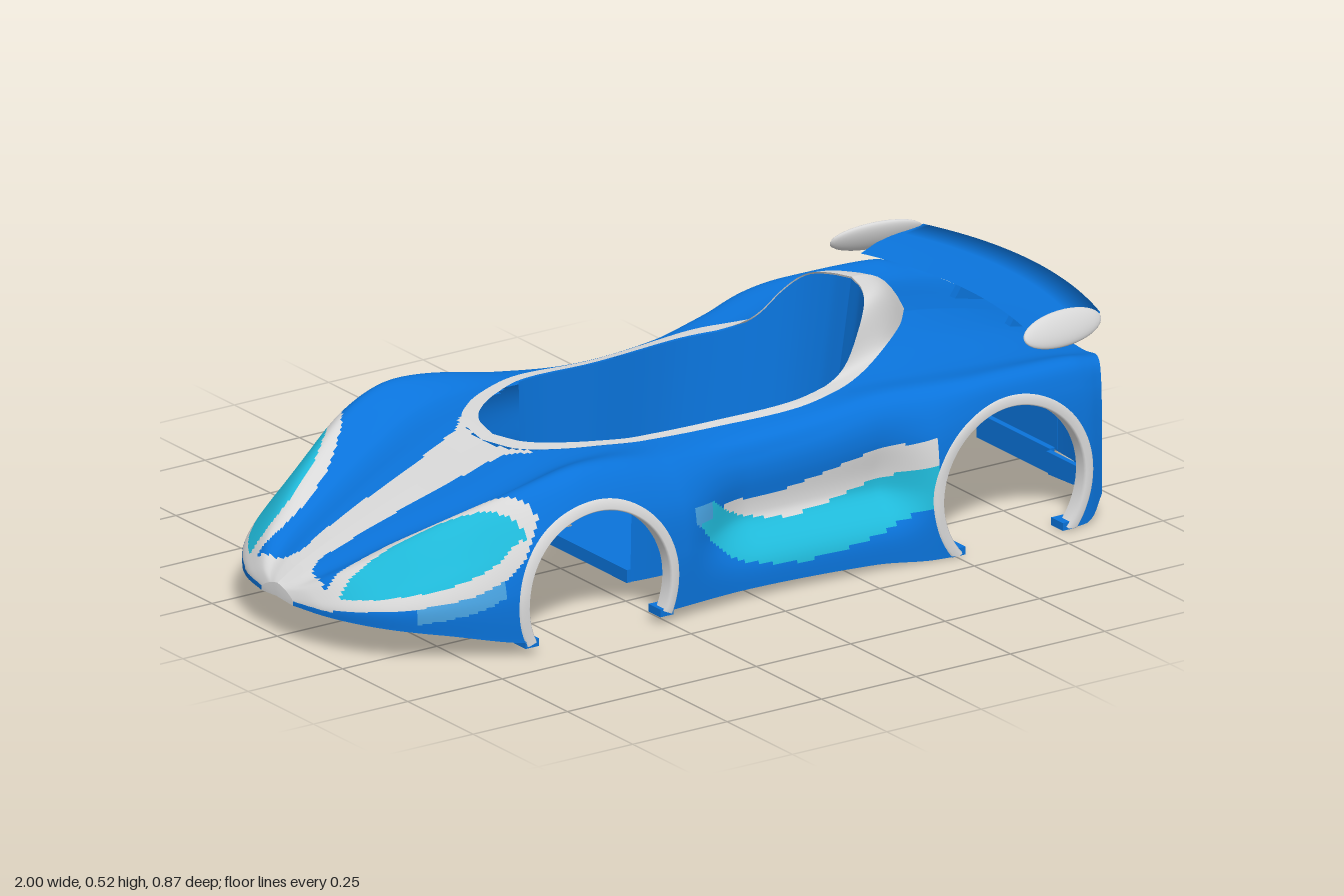
import * as THREE from 'three';

const mat = (name, color) => Object.assign(new THREE.MeshStandardMaterial({ color, side: THREE.DoubleSide }), { name });
const blue = mat('bodyBlue', 0x0a73da), grey = mat('trimGrey', 0xd8d8d8), cyan = mat('accentCyan', 0x20bbdb);
const pale = mat('paleBlue', 0x48a2e0), dark = mat('recessBlue', 0x0b3f80);

// Smooth interpolation through [x, value] pairs
function keys(list) {
  const n = list.length - 1;
  const slope = i => {
    const a = list[Math.max(i - 1, 0)], b = list[Math.min(i + 1, n)];
    return (b[1] - a[1]) / (b[0] - a[0]);
  };
  return x => {
    if (x <= list[0][0]) return list[0][1];
    if (x >= list[n][0]) return list[n][1];
    let i = 0;
    while (x > list[i + 1][0]) i++;
    const [x0, y0] = list[i], [x1, y1] = list[i + 1], h = x1 - x0, t = (x - x0) / h, t2 = t * t, t3 = t2 * t;
    return y0 * (2 * t3 - 3 * t2 + 1) + y1 * (3 * t2 - 2 * t3) + h * (slope(i) * (t3 - 2 * t2 + t) + slope(i + 1) * (t3 - t2));
  };
}
const smooth = THREE.MathUtils.smoothstep, lerp = THREE.MathUtils.lerp;

// Body: half width, then centre, trough, fender and bottom heights along x
const width = keys([[-1, .06], [-.98, .14], [-.94, .22], [-.88, .29], [-.8, .345], [-.7, .39], [-.6, .42], [-.45, .43], [-.25, .42],
  [-.05, .4], [.15, .4], [.35, .412], [.5, .43], [.7, .432], [.85, .428], [.92, .424], [.955, .414]]);
const centre = keys([[-1, .125], [-.94, .16], [-.8, .22], [-.6, .29], [-.43, .345], [-.2, .355], [0, .358], [.3, .375], [.5, .405], [.65, .408], [.8, .385], [.955, .345]]);
const trough = keys([[-1, .12], [-.94, .155], [-.8, .218], [-.6, .29], [-.43, .347], [-.2, .357], [0, .355], [.3, .365], [.5, .378], [.65, .372], [.8, .36], [.955, .342]]);
const fender = keys([[-1, .115], [-.94, .165], [-.88, .2], [-.8, .247], [-.7, .297], [-.6, .342], [-.5, .373], [-.43, .38], [-.33, .37], [-.2, .345],
  [0, .325], [.2, .335], [.35, .363], [.5, .378], [.65, .381], [.85, .375], [.955, .358]]);
const bottom = keys([[-1, .09], [-.8, .065], [-.6, .03], [-.2, .03], [.3, .017], [.45, .003], [.88, .005], [.93, .02], [.955, .06]]);

// Cockpit rim: outer and inner half widths, and the fairing height
const rimOuter = keys([[-.46, 0], [-.44, .1], [-.38, .17], [-.3, .215], [-.2, .248], [0, .25], [.2, .263], [.3, .25], [.4, .21], [.5, .15], [.6, .07], [.66, 0]]);
const rimInner = keys([[-.43, 0], [-.41, .08], [-.36, .14], [-.28, .19], [-.2, .22], [0, .225], [.2, .233], [.3, .213], [.4, .17], [.47, .12], [.51, .05], [.52, 0]]);
const fairing = keys([[.34, 0], [.37, .005], [.4, .022], [.44, .065], [.48, .1], [.52, .104]]);

// Cross-section from the centre line over the fender to the sill
const HALF = 100;
function section(x) {
  const w = width(x), c = centre(x), t = trough(x), f = fender(x), b = bottom(x);
  const front = 1 - smooth(x, -.95, -.45), rear = smooth(x, .3, .6);
  const mix = (nose, mid, tail) => lerp(lerp(mid, nose, front), tail, rear);
  const pts = [[0, c], [mix(.18, .28, .28) * w, lerp(c, t, .35)], [mix(.36, .55, .65) * w, t], [mix(.6, .8, .885) * w, f],
    [mix(.87, .95, .97) * w, f - mix(.35, .25, .15) * (f - b)], [w, b + mix(.35, .4, .5) * (f - b)], [w, b]];
  const out = new THREE.SplineCurve(pts.map(p => new THREE.Vector2(...p))).getPoints(HALF);
  const scoop = .066 * smooth(x, -.2, .02) * (1 - smooth(x, .34, .47));
  for (const p of out) p.x -= scoop * smooth(p.x, .28, .35) * Math.exp(-(((p.y - .17) / (p.y > .17 ? .13 : .06)) ** 2));
  out[0].x = 0;
  return out;
}
function topY(x, z) {
  const s = section(x), i = Math.max(1, s.findIndex(p => p.x >= z)), a = s[i - 1], b = s[i];
  return lerp(a.y, b.y, (z - a.x) / (b.x - a.x));
}
function sideZ(x, y) {
  const s = section(x);
  for (let i = HALF; i > 0; i--) if (s[i - 1].y >= y) return lerp(s[i].x, s[i - 1].x, Math.max(0, (y - s[i].y) / (s[i - 1].y - s[i].y)));
  return s[HALF].x;
}
// The tail wraps forward towards its corners
const tailX = (x, z) => x - .055 * smooth(x, .8, .955) * (z / .41) ** 4;

// Surface over rows and columns; pick gives a material number, or -1 for a hole
function surface(name, rows, cols, at, mats, pick = () => 0) {
  const pos = [], lists = mats.map(() => []), g = new THREE.BufferGeometry();
  for (let i = 0; i <= rows; i++) for (let j = 0; j <= cols; j++) pos.push(...at(i, j));
  const P = k => new THREE.Vector3().fromArray(pos, k * 3);
  for (let i = 0; i < rows; i++) for (let j = 0; j < cols; j++) {
    const a = i * (cols + 1) + j, b = a + cols + 1;
    const m = pick(P(a).add(P(b)).add(P(a + 1)).add(P(b + 1)).multiplyScalar(.25));
    if (m >= 0) lists[m].push(a, a + 1, b, b, a + 1, b + 1);
  }
  g.setAttribute('position', new THREE.Float32BufferAttribute(pos, 3));
  g.setIndex(lists.flat());
  let start = 0;
  lists.forEach((l, k) => { g.addGroup(start, l.length, k); start += l.length; });
  g.computeVertexNormals();
  const mesh = new THREE.Mesh(g, mats);
  mesh.name = name;
  return mesh;
}

const arches = [{ x: -.435, y: .11, end: .43, name: 'front' }, { x: .655, y: .13, end: .72, name: 'rear' }];
const stripe = keys([[-1, .3], [-.97, .16], [-.94, .05], [-.85, .045], [-.6, .07], [-.5, .086], [-.46, .1], [-.42, .14]]);
const lampLow = keys([[-.95, .13], [-.9, .14], [-.76, .175], [-.68, .212], [-.62, .26]]);
const lampTrim = keys([[-1, .1], [-.9, .118], [-.76, .143], [-.68, .172], [-.62, .22], [-.57, .3]]);
const scoopTop = keys([[-.17, .245], [-.1, .235], [-.02, .182], [.09, .152], [.2, .156], [.3, .178], [.46, .218]]);
const scoopLow = keys([[-.17, .215], [-.07, .11], [.03, .075], [.14, .062], [.3, .08], [.46, .13]]);
const scoopGrey = keys([[-.06, .215], [.05, .208], [.13, .212], [.25, .238], [.33, .258], [.46, .278]]);

const isHole = (x, y, z) => (z > .3 && arches.some(a => Math.hypot(x - a.x, y - a.y) < .197)) || (y > .28 && z < rimOuter(x) - .015);

// Paint regions and openings of the body shell: 0 blue, 1 grey, 2 cyan, 3 pale
function paint(p) {
  const { x, y } = p, z = Math.abs(p.z);
  if (isHole(x, y, z)) return -1;
  // Headlamp: a leaf seen from above, limited below by a rising line
  const s = ((x + .95) * .35 + (z - .17) * .23) / .1754, d = ((x + .95) * .23 - (z - .17) * .35) / .4188;
  if (s > 0 && s < 1 && y > lampLow(x) && d < .058 * Math.sin(Math.PI * s) ** .7) return 2;
  if (s > -.12 && s < 1.1 && y > lampTrim(x) && d < .092 * Math.sin(Math.PI * (s + .12) / 1.22) ** .6) return 1;
  if (x < -.67 && x > -.85 && z > .25 && y > lampTrim(x) - .036) return y < lampTrim(x) ? 3 : 0;
  if (x < -.42 && y > .1 && z < stripe(x)) return 1;
  // Side scoop
  if (x > -.17 && x < .46 && z > .28) {
    if (y > scoopLow(x) && y < scoopTop(x)) return x < -.1 && y > .2 ? 3 : 2;
    if (x > -.06 && y >= scoopTop(x) && y < scoopGrey(x)) return 1;
  }
  return 0;
}

function box(name, m, w, h, d, x, y, z) {
  const b = new THREE.Mesh(new THREE.BoxGeometry(w, h, d), m);
  b.position.set(x, y, z);
  b.name = name;
  return b;
}
function extrude(name, m, pts, depth, z) {
  const shape = new THREE.Shape(pts.map(p => new THREE.Vector2(...p)));
  const e = new THREE.Mesh(new THREE.ExtrudeGeometry(shape, { depth, bevelEnabled: false }), m);
  e.position.z = z - depth / 2;
  e.name = name;
  return e;
}

export function createModel() {
  const car = new THREE.Group();
  car.name = 'carBody';

  // Body shell with wheel arches and cockpit left open, and its plain inner skin
  const N = 230, ring = x => {
    const s = section(x);
    return [...s.slice(1).reverse().map(p => [-p.x, p.y]), ...s.map(p => [p.x, p.y])];
  };
  const rings = Array.from({ length: N + 1 }, (_, i) => {
    const t = i / N, x = -1 + 1.955 * (t < .1 ? t * t * 5 : .05 + (t - .1) * .95 / .9);
    return { x, pts: ring(x) };
  });
  car.add(surface('bodyShell', N, 2 * HALF, (i, j) => {
    const { x, pts } = rings[i], [z, y] = pts[j];
    return [tailX(x, z), y, z];
  }, [blue, grey, cyan, pale], paint));
  car.add(surface('innerSkin', N / 2, HALF, (i, j) => {
    const r = rings[i * 2], [z, y] = r.pts[j * 2];
    return [tailX(r.x, z), Math.max(y - .008, bottom(r.x)), z * .982];
  }, [blue], p => (isHole(p.x, p.y, Math.abs(p.z)) ? -1 : 0)));

  // Rear panel and nose cap close the ends of the shell
  const cap = (name, r, cy, bulge, m) => surface(name, 6, 2 * HALF, (i, j) => {
    const s = 1 - i / 6, [z, y] = r.pts[j];
    return [tailX(r.x, z * s) + bulge * (1 - s * s), lerp(cy, y, s), z * s];
  }, [m]);
  car.add(cap('rearPanel', rings[N], .065, .012, blue), cap('noseCap', rings[0], .095, -.002, grey));

  // Cockpit rim rising into the fairing behind the seat
  const rimPoint = (t, s, side) => {
    const e = (1 - Math.cos(Math.PI * t)) / 2, xo = lerp(-.46, .66, e), xi = lerp(-.43, .52, e);
    const zo = Math.max(0, rimOuter(xo)), zi = Math.max(0, rimInner(xi));
    const y = lerp(topY(xo, zo), Math.max(topY(xi, zi), topY(xo, zo) - .01), s);
    return [lerp(xo, xi, s), y + .006 + fairing(xi) * (1 - (1 - s) ** 2.8), side * lerp(zo, zi, s)];
  };
  const loop = i => (i <= 70 ? [i / 70, 1] : [(140 - i) / 70, -1]);
  car.add(surface('cockpitRim', 140, 8, (i, j) => rimPoint(loop(i)[0], j / 8, loop(i)[1]), [grey]));

  // Cockpit tub: walls from the rim to a floor with mounting holes
  const t0 = Math.acos(1 - 2 * (.22 / .95)) / Math.PI, floorY = .025;
  const tub = (i, s) => {
    const [t, side] = loop(i), p = rimPoint(lerp(t0, 1, t), 1, side);
    return [lerp(p[0], -.21 + (p[0] + .21) * .9, s), lerp(p[1] - .004, floorY, s), p[2] * lerp(1, .96, s)];
  };
  car.add(surface('cockpitWalls', 140, 6, (i, j) => tub(i, j / 6), [blue]));
  const floorShape = new THREE.Shape(Array.from({ length: 141 }, (_, i) => {
    const p = tub(i, 1);
    return new THREE.Vector2(p[0], -p[2]);
  }));
  for (const [x, z] of [[-.14, .16], [-.09, .16], [.21, .16], [.26, .16], [.32, .15], [-.17, -.16], [-.12, -.16], [.12, -.16], [.28, -.16], [.11, .09]])
    floorShape.holes.push(new THREE.Path().absarc(x, -z, .009, 0, Math.PI * 2, true));
  const floor = new THREE.Mesh(new THREE.ShapeGeometry(floorShape).rotateX(-Math.PI / 2), blue);
  floor.position.y = floorY;
  floor.name = 'cockpitFloor';
  car.add(floor, box('floorLip', blue, .012, .03, .41, -.21, floorY + .012, 0));

  // Rear wing, swept back in the middle
  const wingOutline = [[0, -.5], [.25, .7], [.6, .9], [1, .3], [.6, -.4], [.25, -.7], [0, -.5]];
  car.add(surface('rearWing', 40, 6, (i, j) => {
    const z = lerp(-.34, .34, i / 40), k = (z / .34) ** 2, [u, v] = wingOutline[j];
    return [lerp(lerp(.83, .78, k), lerp(.998, .945, k), u), .424 + .028 * u - .007 * k + v * .008, z];
  }, [blue]));

  for (const side of [-1, 1]) {
    // Wing end plates, toed and leaning outward at the foot, and the wing struts
    const plate = new THREE.Mesh(new THREE.SphereGeometry(1, 28, 16), grey);
    plate.scale.set(.113, .04, .014);
    plate.position.set(.832, .44, side * .357);
    plate.rotation.set(-side * .46, side * .13, 0, 'YXZ');
    plate.name = 'wingEndPlate';
    car.add(plate, extrude('wingStrut', blue, [[.85, .35], [.952, .3], [.99, .445], [.9, .425]], .02, side * .105));

    // Rear lights with clipped corners
    const lamp = new THREE.Shape();
    lamp.moveTo(-.055, -.012).quadraticCurveTo(-.055, -.022, -.045, -.022).lineTo(.045, -.022).quadraticCurveTo(.055, -.022, .055, -.012);
    lamp.lineTo(.055, .012).quadraticCurveTo(.055, .022, .045, .022).lineTo(-.045, .022).quadraticCurveTo(-.055, .022, -.055, .012);
    const light = new THREE.Mesh(new THREE.ExtrudeGeometry(lamp, { depth: .009, bevelEnabled: false }), pale);
    light.rotation.y = Math.PI / 2 - side * .2;
    light.position.set(.945, .263, side * .285);
    light.name = 'rearLight';
    car.add(light);

    // Lower flaps, shallower towards the outside
    const flap = extrude('rearFlap', blue, [[.155, .018], [.25, .023], [.3, .036], [.308, .07], [.148, .07]].map(([z, y]) => [side * z, y]), .012, 0);
    flap.position.set(.946, 0, 0);
    flap.rotation.y = -Math.PI / 2;
    car.add(flap);

    // Wheel arch trims with an inward lip, and their mounting feet
    for (const a of arches) {
      const profile = [[.209, .001], [.205, .004], [.188, .004], [.184, -.002], [.184, -.03]];
      car.add(surface(a.name + 'ArchTrim', 64, 4, (i, j) => {
        const ang = lerp(-a.end, Math.PI + a.end, i / 64), c = Math.cos(ang), s = Math.sin(ang), [r, out] = profile[j];
        const x = a.x + c * r, y = Math.max(a.y + s * r, .002);
        return [x, y, side * (sideZ(x, y) + out)];
      }, [grey]));
      for (const end of [-1, 1]) {
        const x = a.x + end * .195 * Math.cos(a.end), y = Math.max(.01, a.y - .195 * Math.sin(a.end));
        car.add(box('archFoot', blue, .035, .018, .045, x, y, side * (sideZ(x, y) - .024)));
      }
    }
  }

  // Bumper centre, plate recess and lower valance
  car.add(box('bumperPanel', blue, .008, .13, .3, .966, .133, 0));
  car.add(box('plateRecess', dark, .006, .05, .03, .969, .122, 0));
  car.add(box('lowerValance', blue, .014, .058, .28, .955, .041, 0));
  return car;
}
